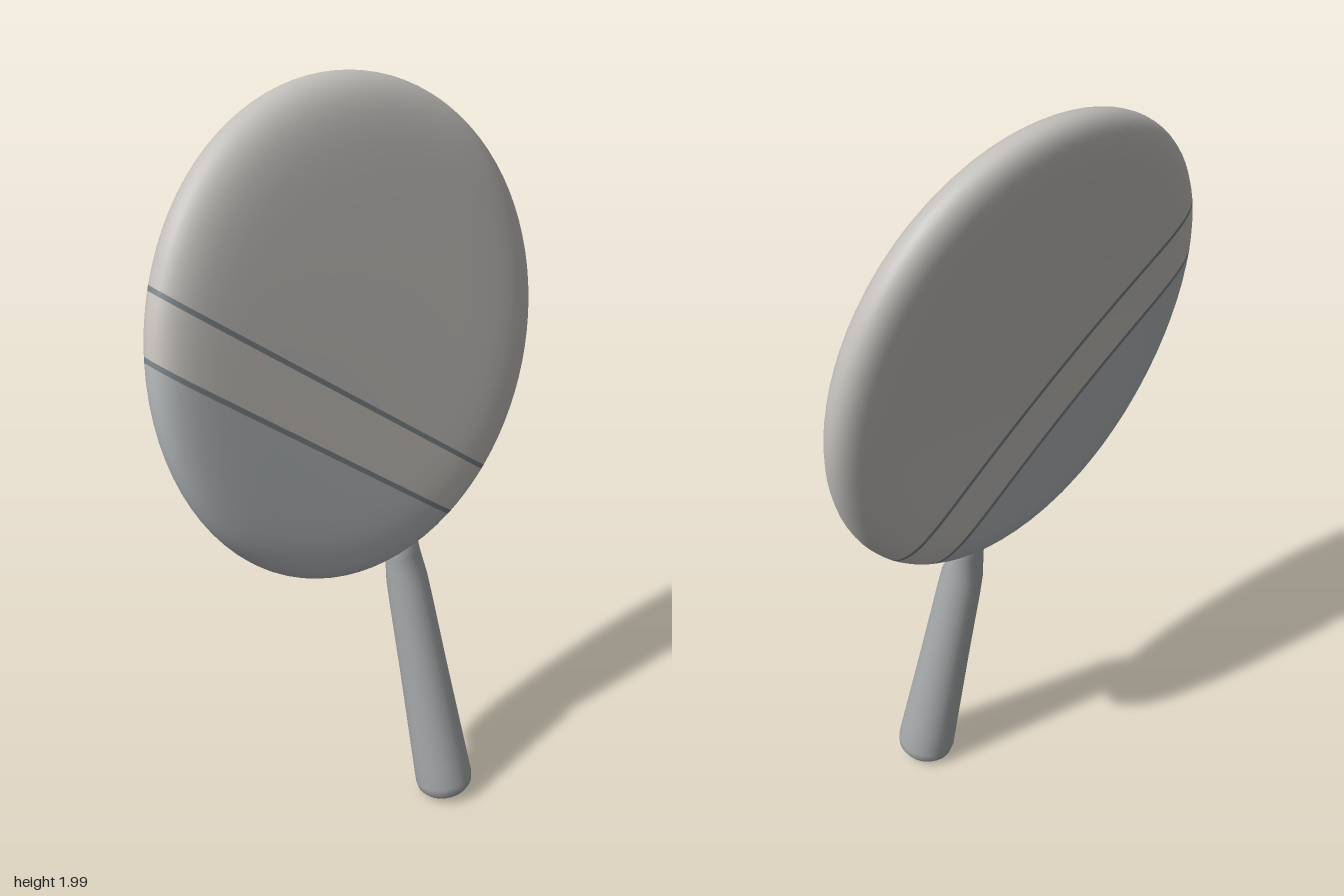
import * as THREE from 'three';

const V = (x, y, z) => new THREE.Vector3(x, y, z);
const mat = (color) => new THREE.MeshStandardMaterial({ color });

// Disc bands across the head, from the lower edge (-1) to the upper edge (1)
const BANDS = [
  ['headLowerPanel', -1, -0.475, 0xb2b6b8, 14],
  ['lowerSeam', -0.475, -0.455, 0x7c8488, 1],
  ['headStripe', -0.455, -0.235, 0xc6c2bd, 5],
  ['upperSeam', -0.235, -0.215, 0x7c8488, 1],
  ['headUpperPanel', -0.215, 1, 0xc2bfbb, 26],
];
const SEG = 80;

// Point on the blunt-rimmed disc: s runs across the bands, phi goes round the slice
function headPoint(s, phi) {
  const angle = 0.95;
  const dx = Math.cos(angle), dy = Math.sin(angle);
  const c = Math.sqrt(Math.max(0, 1 - s * s));
  const t = c * Math.cos(phi);
  const r2 = Math.min(1, s * s + t * t);
  // faces are faintly dished, so the rim is the thickest part
  const half = (0.057 + 0.015 * r2) * Math.sqrt(1 - Math.pow(r2, 5.5));
  const x = 0.59 * (dx * s + dy * t);
  const y = 0.622 * (dy * s - dx * t);
  // lean back with a slight bow, and a twist that fades towards the top
  const twist = -0.055 + 0.04 * y + 0.04 * y * y;
  const middle = -0.05 - 0.155 * y - 0.04 * y * y + twist * x;
  return [x, 1.378 + y, middle + half * Math.sign(Math.sin(phi))];
}

function buildHead() {
  const head = new THREE.Group();
  head.name = 'head';
  const rows = [-1];
  const bandRows = BANDS.map(([, from, to, , steps]) => {
    const first = rows.length - 1;
    const a = Math.acos(from), b = Math.acos(to);
    for (let k = 1; k <= steps; k++) rows.push(Math.cos(a + ((b - a) * k) / steps));
    return [first, rows.length - 1];
  });
  const positions = [];
  for (const s of rows) {
    for (let j = 0; j < SEG; j++) positions.push(...headPoint(s, (j / SEG) * Math.PI * 2));
  }
  const facesBetween = (r0, r1) => {
    const index = [];
    for (let i = r0; i < r1; i++) {
      for (let j = 0; j < SEG; j++) {
        const a = i * SEG + j, b = i * SEG + ((j + 1) % SEG);
        index.push(a, a + SEG, b, b, a + SEG, b + SEG);
      }
    }
    return index;
  };
  // normals come from the whole disc so the bands shade as one surface
  const whole = new THREE.BufferGeometry();
  whole.setAttribute('position', new THREE.Float32BufferAttribute(positions, 3));
  whole.setIndex(facesBetween(0, rows.length - 1));
  whole.computeVertexNormals();
  BANDS.forEach(([name, , , color], n) => {
    const geometry = whole.clone().setIndex(facesBetween(...bandRows[n]));
    const mesh = new THREE.Mesh(geometry, mat(color));
    mesh.name = name;
    head.add(mesh);
  });
  return head;
}

// Tapered grip with a rounded butt; the neck is pinched flat where it enters the rim
function buildHandle() {
  const profile = [
    [0, 0], [0.045, 0.001], [0.064, 0.008], [0.075, 0.022], [0.079, 0.045],
    [0.076, 0.12], [0.065, 0.4], [0.058, 0.62], [0.056, 0.68], [0.054, 0.72],
    [0.053, 0.75], [0.053, 0.775], [0.045, 0.795], [0, 0.8],
  ].map(([r, y]) => new THREE.Vector2(r, y));
  const geometry = new THREE.LatheGeometry(profile, 28);
  const p = geometry.attributes.position;
  for (let i = 0; i < p.count; i++) {
    const pinch = THREE.MathUtils.smoothstep(p.getY(i), 0.66, 0.79);
    p.setZ(i, p.getZ(i) * (1 - 0.5 * pinch));
  }
  const handle = new THREE.Mesh(geometry, mat(0xa9acad));
  handle.name = 'handle';
  const base = V(0.181, 0.013, 0.142);
  const axis = V(0.096, 0.8, 0.026).sub(base).normalize();
  handle.position.copy(base);
  handle.quaternion.setFromUnitVectors(V(0, 1, 0), axis);
  return handle;
}

export function createModel() {
  const model = new THREE.Group();
  model.name = 'paddle';
  model.add(buildHead(), buildHandle());
  return model;
}
